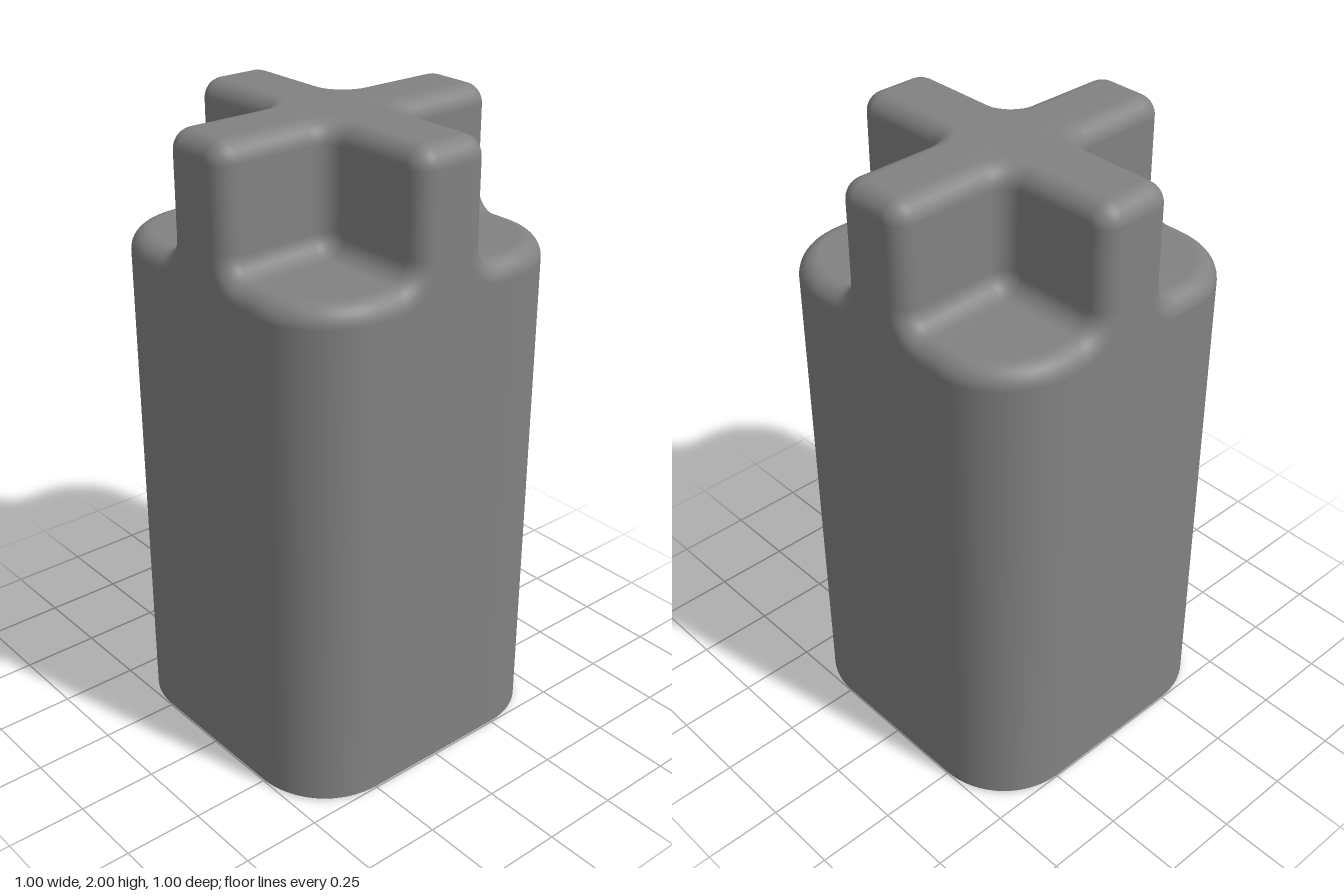
import * as THREE from 'three';
import { mergeGeometries, mergeVertices } from 'three/addons/utils/BufferGeometryUtils.js';

const R = 0.0625;          // radius of every edge rounding and fillet
const HALF = 0.5;          // half width of the body
const CORNER = 0.25;       // plan radius of the body corners
const ARM = 0.125;         // half width of a cross arm
const SHELF = 1.625, TOP = 2;
const CHAMFER = 0.006;     // tiny break of the bottom edge
const STEPS = 8;

// Angles from 0 to 90 degrees
const quarter = Array.from({ length: STEPS + 1 }, (_, i) => (i / STEPS) * Math.PI / 2);

// Surface through rows of points, rows running upward and points left to right
function grid(rows) {
  const pos = [];
  for (let i = 0; i < rows.length - 1; i++) {
    for (let j = 0; j < rows[i].length - 1; j++) {
      const a = rows[i][j], b = rows[i][j + 1], c = rows[i + 1][j + 1], d = rows[i + 1][j];
      pos.push(...a, ...b, ...c, ...a, ...c, ...d);
    }
  }
  const g = new THREE.BufferGeometry();
  g.setAttribute('position', new THREE.Float32BufferAttribute(pos, 3));
  return g;
}

// Reflects rows across the diagonal x = z, keeping them facing outward
const swapAxes = (rows) => rows.map((row) => row.map(([x, y, z]) => [z, y, x]).reverse());

// Four turned copies joined into one smooth surface
function fourfold(parts) {
  const quadrant = mergeGeometries(parts);
  const turns = [0, 1, 2, 3].map((k) => quadrant.clone().rotateY(k * Math.PI / 2));
  const g = mergeVertices(mergeGeometries(turns));
  g.computeVertexNormals();
  return g;
}

// Point on the outer wall: s along the perimeter from the arm centre, pushed in by inset
function wallPoint(s, y, inset) {
  const straight = HALF - CORNER;
  if (s <= straight) return [s, y, HALF - inset];
  const t = (s - straight) / CORNER, r = CORNER - inset;
  return [straight + r * Math.sin(t), y, straight + r * Math.cos(t)];
}

export function createModel() {
  const group = new THREE.Group();
  group.name = 'crossToppedPost';
  const material = new THREE.MeshStandardMaterial({ color: 0x828282 });

  // Edge of the flat wall: over the arm end, down its side, round the fillet, along the shelf
  // Each entry is [s, y, and the direction in which the rounding leaves]
  const edge = [[0, TOP - R, 0, 1]];
  for (const a of quarter) edge.push([ARM - R, TOP - R, Math.sin(a), Math.cos(a)]);
  for (const a of quarter) {
    edge.push([ARM + R - 2 * R * Math.cos(a), SHELF + R - 2 * R * Math.sin(a), Math.cos(a), Math.sin(a)]);
  }
  const shelfStart = edge.length - 1;
  const straight = HALF - CORNER;
  edge.push([straight, SHELF - R, 0, 1]);
  for (let i = 1; i <= STEPS; i++) {
    edge.push([straight + CORNER * (i / STEPS) * Math.PI / 4, SHELF - R, 0, 1]);
  }

  // Half of one wall with its rounded rim
  const foot = edge.map(([s]) => wallPoint(s, CHAMFER, 0));
  const wall = [foot];
  for (const a of quarter) {
    wall.push(edge.map(([s, y, ns, ny]) =>
      wallPoint(s + ns * R * Math.sin(a), y + ny * R * Math.sin(a), R * (1 - Math.cos(a)))));
  }

  // Flat shelf, fanned from the inner corner of the notch
  const rim = wall[wall.length - 1].slice(shelfStart);
  const shelf = [rim, rim.map(() => [ARM + R, SHELF, ARM + R])];

  // Notch side: foot fillet, upright face and rounded top edge
  const profile = [
    ...quarter.map((a) => [-R * (1 - Math.sin(a)), SHELF + R - R * Math.cos(a)]),
    ...quarter.map((a) => [R * (1 - Math.cos(a)), TOP - R + R * Math.sin(a)]),
  ];
  const end = HALF - R, centre = ARM + R;
  const notch = profile.map(([d, y]) => [
    [ARM - d, y, end],
    ...quarter.map((b) => [centre - (R + d) * Math.cos(b), y, centre - (R + d) * Math.sin(b)]),
    [end, y, ARM - d],
  ]);

  // Flat top of the cross, fanned from the middle
  const topEdge = [[0, TOP, end], ...notch[notch.length - 1], [end, TOP, 0]];
  const top = [topEdge, topEdge.map(() => [0, TOP, 0])];

  const shell = [wall, swapAxes(wall), shelf, swapAxes(shelf), notch, top].map(grid);
  const body = new THREE.Mesh(fourfold(shell), material);
  body.name = 'bodyWithCross';
  group.add(body);

  // Flat underside with its narrow chamfer
  const under = [foot.map(() => [0, 0, 0]), edge.map(([s]) => wallPoint(s, 0, CHAMFER)), foot];
  const base = new THREE.Mesh(fourfold([grid(under), grid(swapAxes(under))]), material);
  base.name = 'underside';
  group.add(base);

  return group;
}
